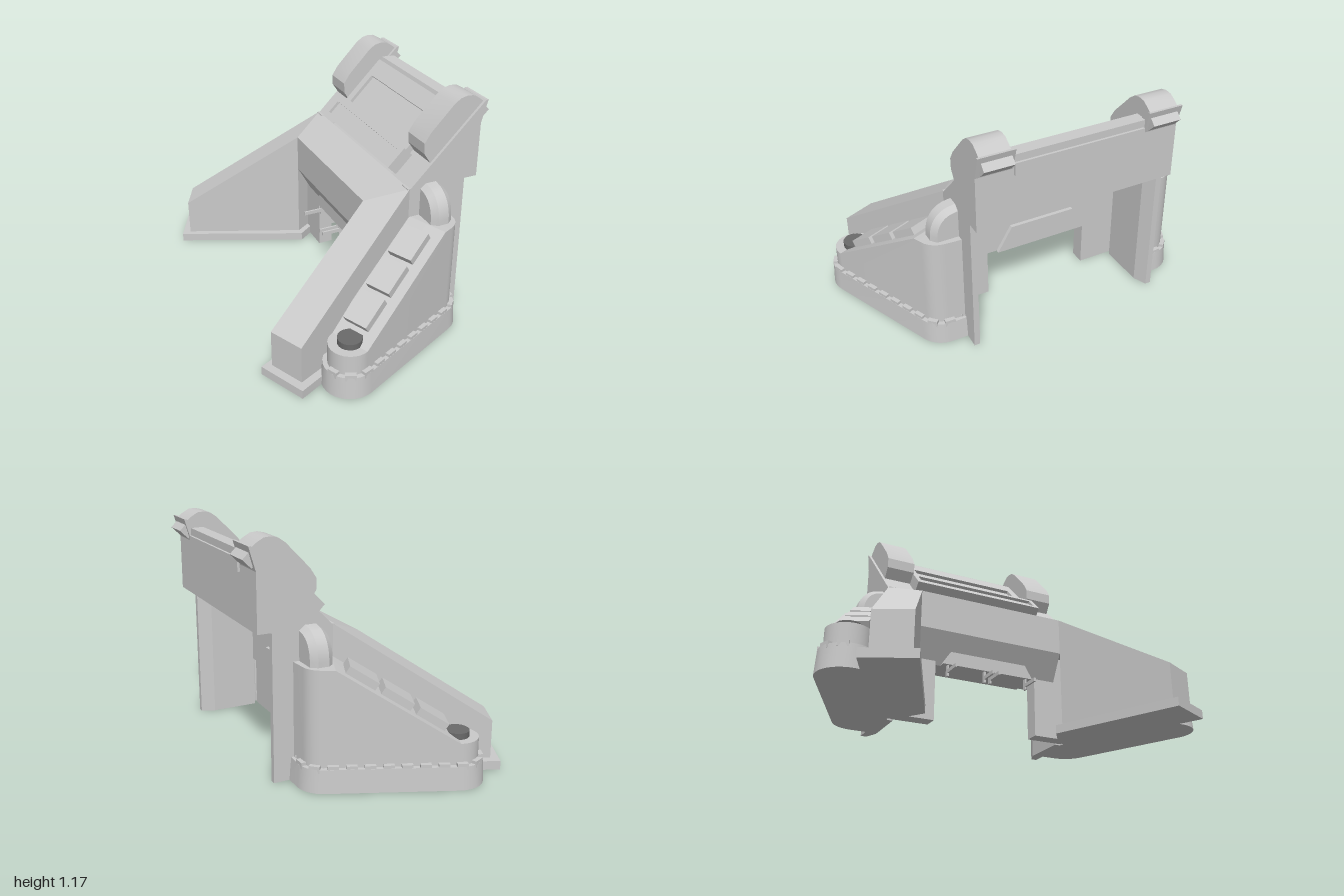
import * as THREE from 'three';
import { toCreasedNormals } from 'three/addons/utils/BufferGeometryUtils.js';
import { ConvexGeometry } from 'three/addons/geometries/ConvexGeometry.js';

const stone = new THREE.MeshStandardMaterial({ color: 0xcacaca });
stone.name = 'lightGrey';
const dark = new THREE.MeshStandardMaterial({ color: 0x6a6a6a });
dark.name = 'darkGrey';

function add(parent, name, geometry, material = stone) {
  const mesh = new THREE.Mesh(geometry, material);
  mesh.name = name;
  parent.add(mesh);
  return mesh;
}

function box(parent, name, size, pos) {
  const mesh = add(parent, name, new THREE.BoxGeometry(...size));
  mesh.position.set(...pos);
  return mesh;
}

// convex solid through [x, y, z] corners
const hull = (pts) => toCreasedNormals(new ConvexGeometry(pts.map((p) => new THREE.Vector3(...p))), 0.5);

// side profile in x, y extruded from z0 to z1
function profile(pts, z0, z1) {
  const shape = new THREE.Shape(pts.map(([x, y]) => new THREE.Vector2(x, y)));
  return new THREE.ExtrudeGeometry(shape, { depth: z1 - z0, bevelEnabled: false }).translate(0, 0, z0);
}

// ground outline in x, z extruded from y0 to y1
function slab(pts, y0, y1) {
  return profile(pts.map(([x, z]) => [x, -z]), y0, y1).rotateX(-Math.PI / 2);
}

// shallow tray: floor plus four raised borders, lying on the 45 degree slope
function tray(parent, name, len, wide, thick, border) {
  const g = new THREE.Group();
  g.name = name;
  box(g, name + 'Floor', [len - border, thick * 0.75, wide - border], [0, -thick * 0.125, 0]);
  for (const s of [-1, 1]) {
    box(g, name + 'EndRim', [border, thick, wide], [s * (len - border) / 2, 0, 0]);
    box(g, name + 'SideRim', [len - 2 * border, thick, border], [0, 0, s * (wide - border) / 2]);
  }
  g.rotation.z = Math.PI / 4;
  parent.add(g);
  return g;
}

// foot outline in local x, z: round nose, round heel and a corner into the wall
function footRing(r, inset) {
  const pts = [];
  for (let i = 0; i <= 14; i++) {
    const a = Math.PI / 2 + (Math.PI * i) / 14;
    pts.push([r * Math.cos(a), r * Math.sin(a)]);
  }
  pts.push([0.578, -r], [0.589, -0.145], [0.8 - inset, -0.052 - inset / 2]);
  for (let i = 0; i <= 10; i++) {
    const a = (Math.PI / 2) * (i / 10);
    pts.push([0.63 + r * Math.cos(a), r * Math.sin(a)]);
  }
  pts.push([0.578, r]);
  return pts;
}

function makeFoot() {
  const foot = new THREE.Group();
  foot.name = 'buttress';
  foot.position.set(-0.28, 0, 0.866);
  foot.rotation.y = 0.416;

  add(foot, 'buttressBase', hull([
    ...footRing(0.134, 0).map(([u, v]) => [u, 0, v]),
    ...footRing(0.127, 0.01).map(([u, v]) => [u, 0.115, v]),
  ]));
  // sloped body starts behind the round nose
  add(foot, 'buttressBody', hull(footRing(0.104, 0.02).filter(([u]) => u > -0.001).flatMap(([u, v]) => [
    [u, 0.1, v], [u, Math.min(0.22 + 0.63 * u, 0.585), v],
  ])));
  add(foot, 'noseDrum', new THREE.CylinderGeometry(0.104, 0.104, 0.12, 28)).position.y = 0.16;
  add(foot, 'noseCap', new THREE.CylinderGeometry(0.06, 0.06, 0.03, 20), dark).position.y = 0.235;

  // tilted plates up the slope
  for (let i = 0; i < 3; i++) {
    const u = 0.13 + 0.163 * i;
    const plate = box(foot, 'slopePlate', [0.16, 0.055, 0.135], [u, 0.233 + 0.63 * u, -0.015]);
    plate.rotation.z = 0.562;
  }

  // teeth around the rim of the base
  const rim = new THREE.Path();
  rim.absarc(0, 0, 0.114, Math.PI, Math.PI / 2, true);
  rim.absarc(0.63, 0, 0.114, Math.PI / 2, -0.3, true);
  const n = 12;
  for (let i = 0; i <= n; i++) {
    const p = rim.getPointAt(i / n);
    const t = rim.getTangentAt(i / n);
    const tooth = box(foot, 'rimTooth', [0.052, 0.032, 0.024], [p.x, 0.114, p.y]);
    tooth.rotation.y = -Math.atan2(t.y, t.x);
  }
  return foot;
}

function makeSide() {
  const side = new THREE.Group();
  side.name = 'side';

  // splayed wing wall with its ground plinth
  add(side, 'wingWall', hull([
    [-0.51, 0.84, 0.24], [-0.59, 0.67, 0.24], [0.01, 0.41, 0.66], [0.2, 0.53, 0.74],
  ].flatMap(([x, z, y]) => [[x, 0, z], [x, y, z]])));
  add(side, 'wingPlinth', slab([[-0.64, 0.66], [-0.53, 0.895], [0.2, 0.56], [0.14, 0.46], [0.01, 0.37]], 0, 0.045));

  // rear post and passage jamb
  add(side, 'rearPost', slab([[0.19, 0.53], [0.51, 0.53], [0.51, 0.5], [0.44, 0.47], [0.19, 0.47]], 0, 0.74));
  box(side, 'jamb', [0.08, 0.53, 0.2], [0.13, 0.265, 0.39]);

  // head cheek carrying a slightly narrower rounded pod
  add(side, 'headCheek', profile([
    [0.2, 0.735], [0.58, 0.735], [0.58, 1.02], [0.613, 1.135], [0.6, 1.135],
  ], 0.345, 0.53));
  add(side, 'pod', toCreasedNormals(profile([
    [0.32, 0.845], [0.28, 0.905], [0.278, 0.96], [0.31, 1.01], [0.43, 1.135], [0.465, 1.16],
    [0.5, 1.168], [0.535, 1.165], [0.57, 1.145], [0.595, 1.125], [0.57, 1.08],
  ], 0.36, 0.515), 0.5));
  const end = box(side, 'podEnd', [0.06, 0.085, 0.15], [0.583, 1.083, 0.435]);
  end.rotation.z = Math.PI / 4;

  // rounded rib between buttress and wall
  const rib = new THREE.Shape();
  rib.moveTo(0, 0.5);
  rib.lineTo(0.115, 0.5);
  rib.lineTo(0.115, 0.61);
  rib.quadraticCurveTo(0.11, 0.7, 0.04, 0.722);
  rib.lineTo(0, 0.73);
  const ribGeometry = new THREE.ExtrudeGeometry(rib, {
    depth: 0.055, bevelThickness: 0.03, bevelSize: 0.025, bevelSegments: 1, curveSegments: 8,
  });
  ribGeometry.rotateY(-Math.PI / 2).translate(0.345, 0, 0.525);
  add(side, 'wallRib', toCreasedNormals(ribGeometry, 0.5));

  // small bracket under the lintel
  for (const z of [0.017, 0.227]) {
    box(side, 'bracketProng', [0.1, 0.02, 0.01], [0.02, 0.265, z]);
    box(side, 'bracketStem', [0.02, 0.1, 0.01], [0.08, 0.29, z]);
  }

  side.add(makeFoot());
  return side;
}

export function createModel() {
  const model = new THREE.Group();
  model.name = 'gateway';

  for (const s of [1, -1]) {
    const side = makeSide();
    side.name = s > 0 ? 'frontSide' : 'backSide';
    side.scale.z = s;
    model.add(side);
  }

  // crossbar with mitred ends, and the lintel under it
  add(model, 'crossbar', hull([1, -1].flatMap((s) => [
    [0.01, 0.46, s * 0.41], [0.01, 0.66, s * 0.41], [0.2, 0.46, s * 0.53], [0.2, 0.74, s * 0.53],
  ])));
  add(model, 'lintel', profile([[0.01, 0.46], [0.1, 0.3], [0.22, 0.3], [0.22, 0.53], [0.15, 0.53]], -0.41, 0.41));

  // raised trapezoids on the rear and inner faces of the lintel
  for (const [x, depth] of [[0.215, 0.025], [0.06, 0.06]]) {
    const trapezoid = profile([[-0.26, 0.3], [0.26, 0.3], [0.18, 0.435], [-0.18, 0.435]], 0, depth);
    add(model, 'lintelPanel', trapezoid.rotateY(Math.PI / 2).translate(x, 0, 0));
  }

  // overhanging head between the cheeks, with a flat ridge at the rear
  add(model, 'head', profile([
    [0.2, 0.735], [0.58, 0.735], [0.58, 1.088], [0.51, 1.088], [0.47, 1.0], [0.22, 0.75],
  ], -0.35, 0.35));
  box(model, 'rearLip', [0.02, 0.065, 0.68], [0.582, 1.018, 0]);
  const upper = tray(model, 'slopeTray', 0.33, 0.7, 0.07, 0.045);
  upper.position.set(0.4, 0.935, 0);
  box(upper, 'slopeTrayStep', [0.06, 0.07, 0.62], [0.095, 0, 0]);
  tray(model, 'lowerTray', 0.125, 0.75, 0.065, 0.025).position.set(0.23, 0.815, 0);

  return model;
}
